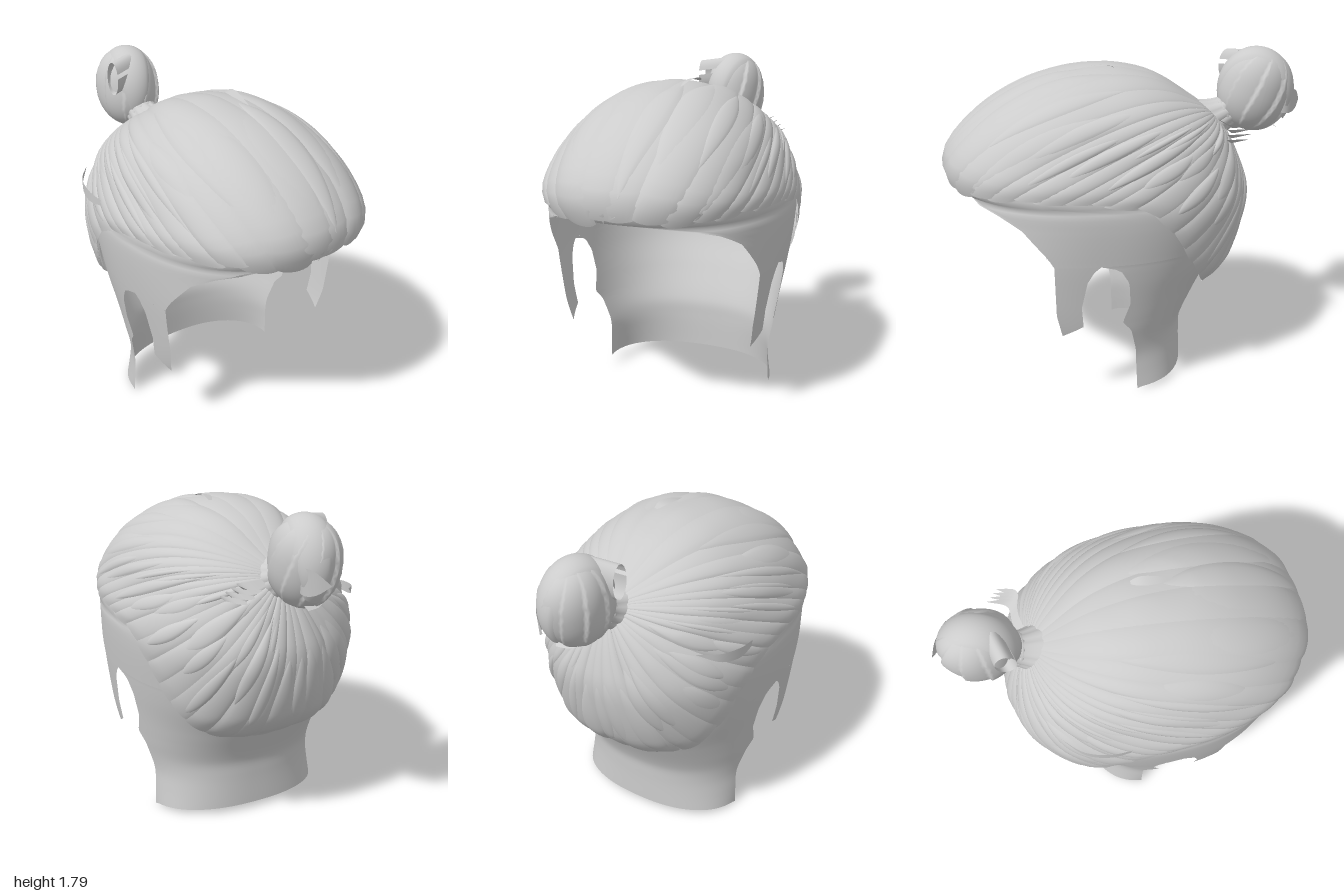
import * as THREE from 'three';
import { mergeGeometries } from 'three/addons/utils/BufferGeometryUtils.js';

const V = (x, y, z) => new THREE.Vector3(x, y, z);
const P = 2.3; // roundness exponent of the horizontal head slices
const material = new THREE.MeshStandardMaterial({ color: 0xcccccc, side: THREE.DoubleSide });

let seed = 7;
const rand = () => (seed = (seed * 16807) % 2147483647) / 2147483647;

// Table lookup [key, value]; smooth uses Hermite tangents
function look(t, k, smooth = true) {
  const n = t.length - 1;
  if (k <= t[0][0]) return t[0][1];
  if (k >= t[n][0]) return t[n][1];
  let i = 0;
  while (t[i + 1][0] < k) i++;
  const [a, va] = t[i], [b, vb] = t[i + 1], h = b - a, f = (k - a) / h;
  if (!smooth) return va + (vb - va) * f;
  const slope = j => {
    const p = t[Math.max(j - 1, 0)], q = t[Math.min(j + 1, n)];
    return (q[1] - p[1]) / (q[0] - p[0]);
  };
  const f2 = f * f, f3 = f2 * f;
  return va * (2 * f3 - 3 * f2 + 1) + vb * (3 * f2 - 2 * f3) + h * (slope(i) * (f3 - 2 * f2 + f) + slope(i + 1) * (f3 - f2));
}

// Head slices by height: half width, front z, back z (hair) and back z (scalp)
const TOP = 1.705;
const WIDTH = [[0, .505], [.1, .507], [.2, .513], [.3, .537], [.4, .56], [.6, .59], [.8, .618], [1, .637], [1.1, .637], [1.2, .62], [1.3, .58], [1.4, .535], [1.5, .465], [1.6, .35], [1.67, .22], [1.695, .1], [TOP, 0]];
const FRONT = [[0, .35], [.35, .75], [.6, .9], [1, .93], [1.1, .95], [1.2, .985], [1.32, .935], [1.47, .785], [1.6, .57], [1.67, .38], [1.695, .22], [TOP, .1]];
const BACK = [[0, -.32], [.2, -.32], [.3, -.33], [.5, -.43], [.6, -.54], [.7, -.61], [.95, -.67], [1.1, -.665], [1.32, -.59], [1.45, -.49], [1.53, -.38], [1.65, -.18], [1.695, 0], [TOP, .1]];
const SCALP = [[0, -.32], [.2, -.32], [.3, -.33], [.5, -.42], [.7, -.52], [1, -.6], [1.2, -.59], [1.4, -.49], [1.53, -.36], [1.65, -.16], [1.695, .02], [TOP, .1]];

function slice(y, scalp) {
  const zf = look(FRONT, y) - (scalp ? .03 * THREE.MathUtils.smoothstep(y, .8, 1.1) : 0);
  const zb = look(scalp ? SCALP : BACK, y);
  return { w: Math.max(look(WIDTH, y) - (scalp ? .004 : 0), 0), c: (zf + zb) / 2, r: Math.max((zf - zb) / 2, 0) };
}
const pow = (v, e) => Math.sign(v) * Math.abs(v) ** e;
// Angle 0 faces front, PI faces back
function slicePoint(y, a, scalp) {
  const { w, c, r } = slice(y, scalp);
  return V(w * pow(Math.sin(a), 2 / P), y, c + r * pow(Math.cos(a), 2 / P));
}
function angleAt(y, z) {
  const { c, r } = slice(y, true);
  return Math.acos(pow(THREE.MathUtils.clamp((z - c) / r, -1, 1), P / 2));
}

// Surface from a rule over u, v in 0..1
function grid(nu, nv, fn) {
  const pos = [], index = [];
  for (let j = 0; j <= nv; j++) for (let i = 0; i <= nu; i++) {
    pos.push(...fn(i / nu, j / nv).toArray());
    if (i < nu && j < nv) {
      const a = j * (nu + 1) + i, b = a + nu + 1;
      index.push(a, a + 1, b, b, a + 1, b + 1);
    }
  }
  const g = new THREE.BufferGeometry();
  g.setAttribute('position', new THREE.Float32BufferAttribute(pos, 3));
  g.setIndex(index);
  g.computeVertexNormals();
  return g;
}

// Hair surface found along rays from the head centre
const CENTRE = V(0, 1.1, .1);
function onHead(dir, lift) {
  let lo = 0, hi = 1.6;
  for (let i = 0; i < 22; i++) {
    const m = (lo + hi) / 2, p = dir.clone().multiplyScalar(m).add(CENTRE);
    const { w, c, r } = slice(p.y, false);
    const inside = p.y < TOP && p.y > 0 && Math.abs(p.x / (w + 1e-6)) ** P + Math.abs((p.z - c) / (r + 1e-6)) ** P < 1;
    if (inside) lo = m; else hi = m;
  }
  return dir.clone().multiplyScalar(lo + lift).add(CENTRE);
}
const knotDir = V(0, 1.42, -.53).sub(CENTRE).normalize();
// Lower hem of the swept hair, front centre to back centre: height, angle
const hem = new THREE.CatmullRomCurve3([[1.115, 0], [1.125, 30], [1.14, 60], [1.12, 90], [1.07, 100], [.93, 110], [.74, 122], [.58, 142], [.51, 180]]
  .map(([y, d]) => slicePoint(y, d * Math.PI / 180, false)));
function strand(s, t, lift) {
  s = (s + 2) % 2;
  const e = hem.getPointAt(s > 1 ? 2 - s : s);
  if (s > 1) e.x *= -1;
  e.sub(CENTRE).normalize();
  const A = knotDir.angleTo(e);
  const d = knotDir.clone().multiplyScalar(Math.sin((1 - t) * A)).addScaledVector(e, Math.sin(t * A)).normalize();
  return onHead(d, lift);
}
// One arched lock along a strand; leaf locks taper at both ends
function lock(s, width, t0, t1, lift, leaf) {
  return grid(8, 30, (u, v) => {
    const t = t0 + (t1 - t0) * v, arch = (4 * u * (1 - u)) ** .7;
    const taper = leaf ? Math.sin(Math.PI * v) ** .8 : 1;
    const fade = Math.min(1, t * 2.5) * (1 - .8 * THREE.MathUtils.smoothstep(t, .9, 1.03));
    const tip = leaf ? 0 : .012 * (arch - .6) * THREE.MathUtils.smoothstep(v, .8, 1);
    return strand(s + (u - .5) * width * taper, t + tip, (lift + .015 * arch * (leaf ? taper : 1)) * fade - .002);
  });
}

// Flat pointed wisp along a curve
function wisp(pts, width, across) {
  const c = new THREE.CatmullRomCurve3(pts.map(p => V(...p)));
  return grid(2, 14, (u, v) => c.getPoint(v).addScaledVector(across, (u - .5) * width * Math.sin(Math.PI * (.12 + .88 * v))));
}

export function createModel() {
  const model = new THREE.Group();
  const add = (name, geometry) => {
    const m = new THREE.Mesh(geometry, material);
    m.name = name;
    model.add(m);
    return m;
  };

  // Close-cropped scalp: dome, nape and sideburns around the ear openings
  const hairline = [[.79, .44], [.84, .47], [.99, .6], [1.07, .75], [1.1, .92]];
  add('scalpDome', grid(80, 44, (u, v) => {
    const y = .79 + (TOP - .79) * Math.sin(v * Math.PI / 2);
    const a = y > 1.1 ? 0 : angleAt(y, look(hairline, y, false));
    const p = slicePoint(y, a + (2 * Math.PI - 2 * a) * u, true);
    p.y -= .03 * THREE.MathUtils.smoothstep(y, 1.2, 1.7);
    return p;
  }));
  const earBack = [[0, -.01], [.25, 0], [.38, .03], [.44, .08], [.55, .04], [.68, .05], [.75, .09], [.78, .14], [.79, .2]];
  add('nape', grid(60, 40, (u, v) => {
    const y = .79 * v, a = angleAt(y, look(earBack, y, false));
    const p = slicePoint(y, a + (2 * Math.PI - 2 * a) * u, true);
    p.y += .032 * Math.max(0, Math.sin(Math.PI * u)) ** .45 * (1 - v);
    return p;
  }));
  const burnFront = [[.37, .4], [.5, .43], [.79, .44]];
  const burnBack = [[.37, .4], [.43, .29], [.55, .3], [.7, .27], [.76, .235], [.79, .2]];
  for (const side of [1, -1]) add(side > 0 ? 'leftSideburn' : 'rightSideburn', grid(8, 28, (u, v) => {
    const y = .37 + .42 * v, a = angleAt(y, look(burnFront, y, false)), b = angleAt(y, look(burnBack, y, false));
    const p = slicePoint(y, a + (b - a) * u, true);
    p.x *= side;
    return p;
  }));

  // Swept-back hair: a full layer of uneven locks gathered at the knot
  const N = 38, locks = [];
  for (let i = 0; i < N; i++) {
    const s = (i + .5 + (rand() - .5) * .4) * 2 / N;
    locks.push(lock(s, (2.5 + rand() * .6) / N, .05, .98 + rand() * .03, rand() * .012 - .006, false));
  }
  add('sweptHair', mergeGeometries(locks));

  // Loose leaf-shaped locks lying on top
  const loose = [];
  for (let i = 0; i < 44; i++) {
    const t0 = .12 + rand() * .4;
    loose.push(lock((i + rand()) * 2 / 44, .035 + rand() * .035, t0, Math.min(t0 + .35 + rand() * .3, 1), .004 + rand() * .006, true));
  }
  add('looseLocks', mergeGeometries(loose));

  // Gathered neck and tie, aimed up and back
  const axis = V(0, .45, -.9).normalize();
  const aim = (m, at) => {
    m.position.copy(at);
    m.quaternion.setFromUnitVectors(V(0, 1, 0), axis);
  };
  aim(add('gatheredNeck', grid(60, 12, (u, v) => {
    const a = 2 * Math.PI * u, f = (u * 12) % 1;
    const r = (.155 - .08 * Math.sin(v * Math.PI / 2) + .03 * v ** 6) * (1 + .06 * (4 * f * (1 - f)) ** .6);
    return V(r * Math.cos(a), -.1 + .23 * v, r * Math.sin(a));
  })), V(0, 1.4, -.53));
  const tie = new THREE.TorusGeometry(.075, .018, 10, 28);
  tie.rotateX(Math.PI / 2);
  aim(add('hairTie', tie), V(0, 1.425, -.575));

  // Bun: a plump ball of overlapping twisted locks
  const bunAt = V(.01, 1.55, -.75);
  const bun = add('bun', grid(99, 32, (u, v) => {
    const lat = Math.PI * v, f = (u * 9 + v * 1.3) % 1, a = 2 * Math.PI * u;
    const ring = Math.max(0, Math.sin(lat)) ** .85 * (.93 + .09 * f * Math.sin(lat));
    return V(.175 * ring * Math.cos(a), -.228 * pow(Math.cos(lat), .9), .205 * ring * Math.sin(a));
  }));
  bun.position.copy(bunAt);
  bun.rotation.x = -.25;

  // Broad band coiled over the bun from front to underside
  add('bunCoil', grid(12, 48, (u, v) => {
    const a = -.5 + v * 4.4, b = (u - .5) * (.5 + .8 * Math.sin(Math.PI * v)) + .35 * Math.cos(a);
    const r = .98 + .07 * (4 * u * (1 - u)) ** .5;
    return V(-.18 * r * Math.sin(b), .23 * r * Math.sin(a) * Math.cos(b), .205 * r * Math.cos(a) * Math.cos(b)).add(bunAt);
  }));

  // Open curl of hair on the front right of the bun
  add('bunLoop', grid(8, 28, (u, v) => {
    const a = .4 + v * 6;
    return V(-.165 + .14 * u, 1.655 + .095 * Math.sin(a) + .02 * u, -.635 - .04 * u + .055 * Math.cos(a));
  }));

  // Loose ends sticking out behind and below the bun
  add('bunTuft', wisp([[.1, 1.48, -.82], [.12, 1.5, -.9], [.08, 1.5, -.96], [.02, 1.49, -1]], .14, V(.1, 1, 0).normalize()));
  add('bunLowerEnd', wisp([[-.05, 1.45, -.7], [-.02, 1.39, -.78], [.03, 1.36, -.84], [.06, 1.34, -.87]], .12, V(.8, .3, .3).normalize()));

  // Fine stray wisps beside the knot, at the temple and on the crown
  const strays = [];
  for (let i = 0; i < 4; i++) {
    strays.push(wisp([[.06, 1.41 - i * .02, -.51], [.17 + i * .02, 1.4 - i * .025, -.55], [.26 + i * .025, 1.41 - i * .02, -.56 + i * .01],
      [.29 + i * .03, 1.43 - i * .02, -.68 + i * .02]], .06, V(.5, .5, .6).normalize()));
  }
  strays.push(wisp([[-.61, 1.2, -.08], [-.61, 1.2, -.22], [-.57, 1.22, -.35], [-.48, 1.26, -.45]], .06, V(0, 1, 0)));
  strays.push(wisp([[.1, 1.715, .05], [.09, 1.73, .1], [.08, 1.725, .18], [.08, 1.7, .28]], .05, V(1, .2, 0).normalize()));
  add('strayWisps', mergeGeometries(strays));

  return model;
}
